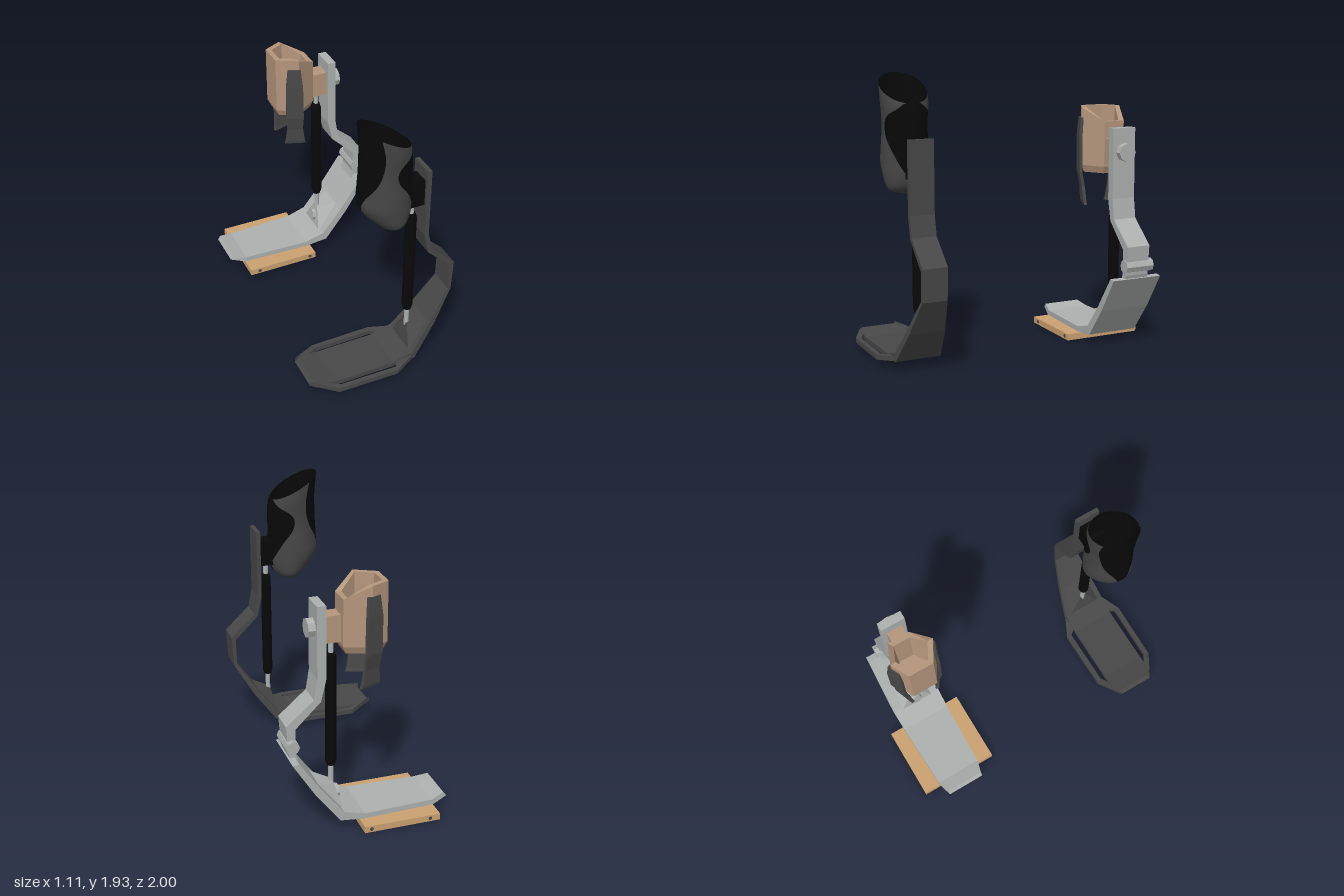
import * as THREE from 'three';
import { ConvexGeometry } from 'three/addons/geometries/ConvexGeometry.js';

const mat = (name, color, side = THREE.FrontSide, flat = true) => {
  const m = new THREE.MeshStandardMaterial({ color, side, flatShading: flat });
  m.name = name;
  return m;
};

const mesh = (parent, name, geometry, material) => {
  const m = new THREE.Mesh(geometry, material);
  m.name = name;
  parent.add(m);
  return m;
};

// Skin rows of points; closed rows get end caps
function loft(rows, closed = true) {
  const n = rows[0].length, idx = [], pos = rows.flat(2);
  const cols = closed ? n : n - 1;
  for (let r = 0; r < rows.length - 1; r++) {
    for (let i = 0; i < cols; i++) {
      const a = r * n + i, a2 = r * n + (i + 1) % n, b = a + n, b2 = a2 + n;
      idx.push(a, b, b2, a, b2, a2);
    }
  }
  if (closed) {
    const e = (rows.length - 1) * n;
    for (let i = 1; i < n - 1; i++) idx.push(0, i, i + 1, e, e + i + 1, e + i);
  }
  const g = new THREE.BufferGeometry();
  g.setAttribute('position', new THREE.Float32BufferAttribute(pos, 3));
  g.setIndex(idx);
  g.computeVertexNormals();
  return g;
}

// Bent bar: stations are inner x, y, outer x, y, half width in z
const ribbon = (stations) => loft(stations.map(([xi, yi, xo, yo, w]) =>
  [[xi, yi, w], [xi, yi, -w], [xo, yo, -w], [xo, yo, w]]));

export function createModel() {
  const model = new THREE.Group();
  model.name = 'legProstheses';
  const carbon = mat('carbon grey', 0x484848);
  const shellGrey = mat('shell grey', 0x454545, THREE.FrontSide, false);
  const black = mat('black', 0x080808, THREE.DoubleSide, false);
  const metal = mat('light metal', 0xacb1af);
  const wood = mat('wood', 0xcba272);
  const tan = mat('tan', 0xb5967c);

  // Parts shared by both legs: damper and ankle wedge
  function sharedParts(leg, frame) {
    const rod = mesh(leg, 'damperRod', new THREE.CylinderGeometry(0.017, 0.017, 1.1, 10), metal);
    rod.position.set(0.215, 0.76, 0);
    const profile = [[0.018, 0.385], [0.026, 0.385], [0.037, 0.42], [0.037, 1.15], [0.026, 1.185], [0.018, 1.185]]
      .map(([r, y]) => new THREE.Vector2(r, y));
    mesh(leg, 'damperSleeve', new THREE.LatheGeometry(profile, 12), black).position.x = 0.215;
    const pts = [];
    for (const s of [-1, 1]) {
      for (const [x, y, z] of [[0.205, 0.265, 0.03], [0.34, 0.31, 0.1], [0.17, 0.1, 0.13], [0.21, 0.1, 0.13]]) {
        pts.push(new THREE.Vector3(x, y, s * z));
      }
    }
    mesh(leg, 'ankleWedge', new ConvexGeometry(pts), frame);
  }

  // ---- Dark leg ----
  const dark = new THREE.Group();
  dark.name = 'darkLeg';
  dark.position.z = 0.762;
  model.add(dark);
  sharedParts(dark, carbon);

  mesh(dark, 'blade', ribbon([
    [-0.535, 0.11, -0.56, 0.087, 0.127], [-0.5, 0.103, -0.51, 0.076, 0.157],
    [-0.38, 0.083, -0.39, 0.05, 0.157], [0.04, 0.083, 0.04, 0.05, 0.157],
    [0.185, 0.125, 0.2, 0.068, 0.16], [0.333, 0.32, 0.36, 0.29, 0.125],
    [0.472, 0.53, 0.495, 0.525, 0.087], [0.476, 0.725, 0.507, 0.745, 0.086],
    [0.305, 0.893, 0.33, 0.91, 0.086], [0.272, 1.04, 0.302, 1.05, 0.086],
    [0.272, 1.535, 0.302, 1.535, 0.086]]), carbon);

  // Side rails of the foot, bent to follow the sole
  const soleY = (x) => 0.05 + 0.22 * Math.max(0, -0.39 - x) + 0.14 * Math.max(0, x - 0.04);
  const outline = [[-0.56, 0.125], [-0.39, 0.228], [0.04, 0.234], [0.18, 0.165], [0.07, 0.155],
    [0.04, 0.198], [-0.37, 0.194], [-0.44, 0.155], [-0.51, 0.153]];
  for (const s of [1, -1]) {
    const shape = new THREE.Shape(outline.map(([x, z]) => new THREE.Vector2(x, s * z)));
    const g = new THREE.ExtrudeGeometry(shape, { depth: 0.033, bevelEnabled: false });
    g.rotateX(-Math.PI / 2);
    const p = g.attributes.position;
    for (let i = 0; i < p.count; i++) p.setY(i, p.getY(i) + soleY(p.getX(i)));
    g.computeVertexNormals();
    mesh(dark, 'footRail', g, carbon);
  }

  // Socket rings: height, left x, right x | half depth, left and right colour seams
  const rings = [[1.15, 0.045, 0.06, 0.01, 0.046, 0.059], [1.175, -0.02, 0.12, 0.11, -0.019, 0.119],
    [1.21, -0.06, 0.16, 0.143, -0.059, 0.158], [1.28, -0.125, 0.187, 0.153, -0.124, 0.18],
    [1.36, -0.167, 0.19, 0.157, -0.163, 0.155], [1.45, -0.165, 0.19, 0.153, -0.145, 0.11],
    [1.55, -0.16, 0.19, 0.146, -0.09, 0.042], [1.64, -0.156, 0.19, 0.146, -0.06, 0.042],
    [1.74, -0.155, 0.185, 0.155, -0.055, 0.14], [1.84, -0.168, 0.172, 0.157, -0.08, 0.165]];
  const curve = (k) => new THREE.CatmullRomCurve3(
    rings.map((r) => new THREE.Vector3(r[k], r[k + 1], r[k + 2])), false, 'catmullrom', 0.5);
  const edges = curve(0), seams = curve(3);
  const TAU = Math.PI * 2;
  function socketPanel(from, to, scale = 1) {
    const rows = [];
    for (let r = 0; r <= 36; r++) {
      const { x: y, y: l, z: rt } = edges.getPoint(r / 36);
      const { x: hz, y: sl, z: sr } = seams.getPoint(r / 36);
      const cx = (l + rt) / 2, rx = (rt - l) / 2;
      const ang = (x) => Math.acos(THREE.MathUtils.clamp((x - cx) / rx, -1, 1));
      const a = from(ang(sl), ang(sr)), b = to(ang(sl), ang(sr));
      const tilt = 0.09 * Math.max(0, (y - 1.55) / 0.29) ** 2;
      const row = [];
      for (let i = 0; i <= 20; i++) {
        const t = a + (b - a) * i / 20;
        row.push([cx + rx * scale * Math.cos(t), y - tilt * Math.cos(t) + (1 - scale) * 0.3 * (1 - r / 36),
          hz * scale * Math.sin(t)]);
      }
      rows.push(row);
    }
    return loft(rows, false);
  }
  mesh(dark, 'socketFrontPanel', socketPanel((l, r) => r, (l) => l), shellGrey);
  mesh(dark, 'socketBackPanel', socketPanel((l) => TAU - l, (l, r) => TAU - r), shellGrey);
  mesh(dark, 'socketToePanel', socketPanel((l) => l, (l) => TAU - l), black);
  mesh(dark, 'socketHeelPanel', socketPanel((l, r) => -r, (l, r) => r), black);
  mesh(dark, 'socketLining', socketPanel(() => 0, () => TAU, 0.97), black);
  mesh(dark, 'socketMount', new THREE.BoxGeometry(0.13, 0.185, 0.12), black).position.set(0.21, 1.36, 0);

  // ---- Light leg ----
  const light = new THREE.Group();
  light.name = 'lightLeg';
  light.position.z = -0.717;
  model.add(light);
  sharedParts(light, metal);

  mesh(light, 'footBlade', ribbon([
    [-0.535, 0.107, -0.555, 0.08, 0.137], [-0.44, 0.083, -0.45, 0.046, 0.163],
    [0.04, 0.083, 0.04, 0.045, 0.181], [0.185, 0.125, 0.21, 0.066, 0.186],
    [0.333, 0.31, 0.375, 0.28, 0.186], [0.485, 0.53, 0.53, 0.525, 0.186]]), metal);
  mesh(light, 'uprightBar', ribbon([
    [0.462, 0.5, 0.505, 0.49, 0.086], [0.478, 0.55, 0.525, 0.55, 0.086],
    [0.478, 0.725, 0.54, 0.75, 0.086], [0.308, 0.893, 0.355, 0.91, 0.086],
    [0.274, 1.04, 0.333, 1.05, 0.086], [0.274, 1.535, 0.333, 1.535, 0.086]]), metal);

  // Bolts
  const bolt = (name, r, h, pos, axis) => {
    const b = mesh(light, name, new THREE.CylinderGeometry(r, r, h, 8), metal);
    b.rotation[axis] = Math.PI / 2;
    b.position.set(...pos);
    return b;
  };
  bolt('socketBolt', 0.064, 0.05, [0.355, 1.37, 0], 'z');
  bolt('kneeBolt', 0.046, 0.21, [0.505, 0.61, -0.013], 'x');
  bolt('ankleBolt', 0.046, 0.035, [0.183, 0.188, 0], 'z').rotation.z = Math.PI / 2 - 0.12;

  // Six-sided cup with a lowered rim on the heel side
  const hex = [[-0.125, -0.095], [0, -0.158], [0.168, -0.095], [0.168, 0.06], [0.02, 0.158], [-0.125, 0.08]];
  const ring = (scale, y, dip) => hex.map(([x, z]) =>
    [0.02 + (x - 0.02) * scale, x > 0.1 ? y - dip : y, z * scale]);
  mesh(light, 'cup', loft([ring(0.85, 1.2, 0), ring(1, 1.25, 0), ring(1, 1.655, 0.09),
    ring(0.76, 1.655, 0.09), ring(0.68, 1.27, 0)]), tan);
  mesh(light, 'cupMount', new THREE.BoxGeometry(0.14, 0.18, 0.11), tan).position.set(0.205, 1.36, 0);

  // Straps: distance out, height, half width
  const strap = loft([[0.115, 0.97, 0.076], [0.12, 0.99, 0.07], [0.13, 1.1, 0.056], [0.15, 1.2, 0.062],
    [0.152, 1.45, 0.06], [0.142, 1.585, 0.045]].map(([d, y, w]) =>
    [[-w, y, d], [w, y, d], [w, y, d + 0.022], [-w, y, d + 0.022]]));
  for (const turn of [-0.35, Math.PI + 0.35]) {
    const s = mesh(light, 'strap', strap, carbon);
    s.rotation.y = turn;
    s.position.x = 0.04;
  }

  // Base board with edge screws
  mesh(light, 'baseBoard', new THREE.BoxGeometry(0.525, 0.045, 0.565), wood).position.set(-0.187, 0.0225, 0);
  for (const x of [-0.38, 0.03]) {
    const s = mesh(light, 'boardScrew', new THREE.CylinderGeometry(0.013, 0.013, 0.57, 8), carbon);
    s.rotation.x = Math.PI / 2;
    s.position.set(x, 0.023, 0);
  }
  return model;
}
